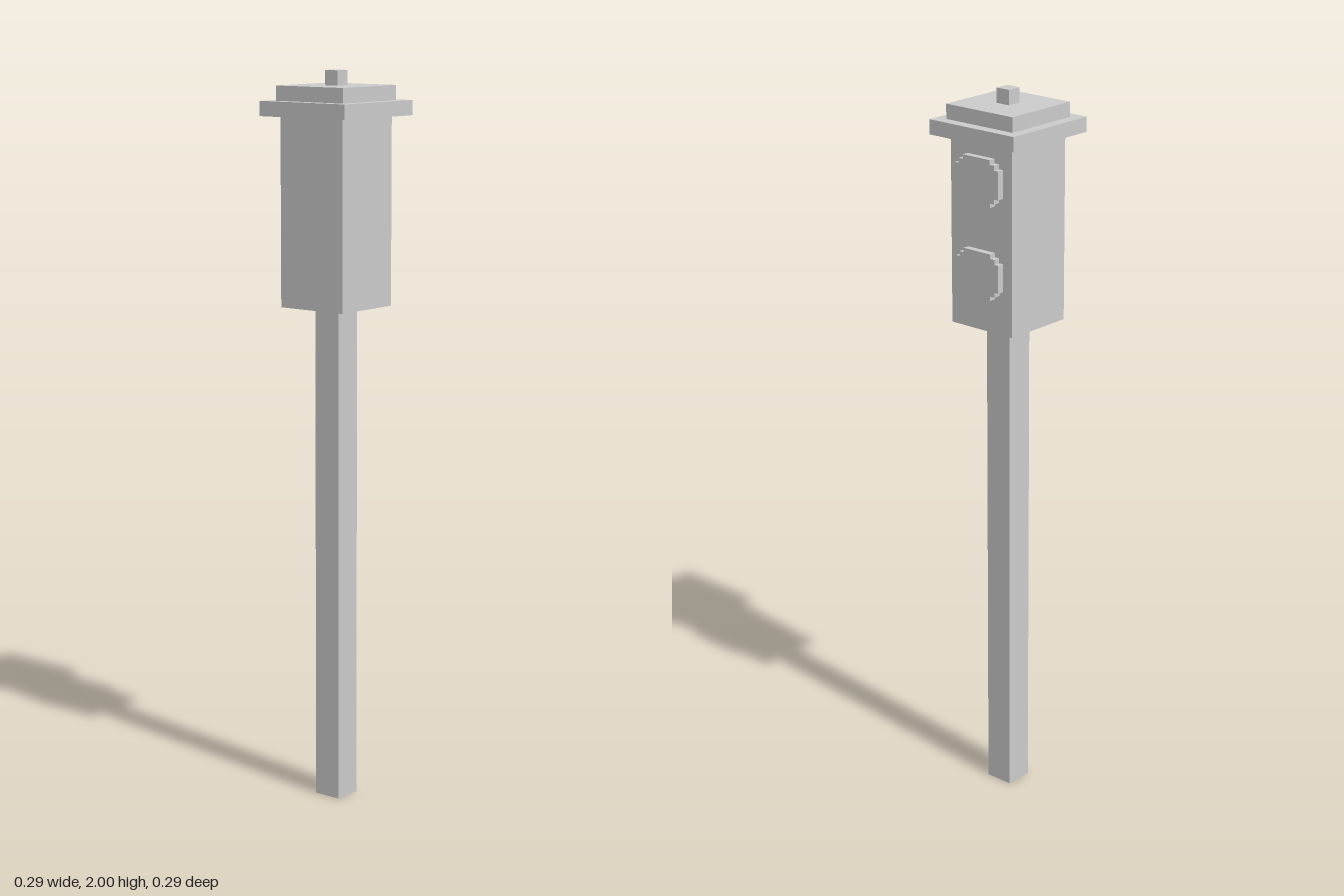
import * as THREE from 'three';

export function createModel() {
  const group = new THREE.Group();
  const material = new THREE.MeshStandardMaterial({ color: 0xcccccc, flatShading: true });

  // Square block centred on the axis, from y0 to y1
  function block(name, width, y0, y1) {
    const mesh = new THREE.Mesh(new THREE.BoxGeometry(width, y1 - y0, width), material);
    mesh.name = name;
    mesh.position.y = (y0 + y1) / 2;
    group.add(mesh);
  }
  block('post', 0.08, 0, 1.37);
  block('housing', 0.21, 1.37, 1.88);
  block('roofBrim', 0.288, 1.88, 1.92);
  block('roofTop', 0.226, 1.92, 1.96);
  block('finial', 0.042, 1.96, 2);

  // Lamp outline: a rectangle with stepped corners, mirrored quadrant by quadrant
  const corner = [[0.074, 0.038], [0.061, 0.038], [0.061, 0.051], [0.046, 0.051], [0.046, 0.063]];
  const outline = [];
  for (const [sx, sy] of [[1, 1], [-1, 1], [-1, -1], [1, -1]]) {
    const points = corner.map(([x, y]) => new THREE.Vector2(x * sx, y * sy));
    outline.push(...(sx * sy > 0 ? points : points.reverse()));
  }
  const lampGeometry = new THREE.ExtrudeGeometry(new THREE.Shape(outline), { depth: 0.023, bevelEnabled: false });

  // Two lamps on the back of the housing
  [['upperLamp', 1.777], ['lowerLamp', 1.527]].forEach(([name, y]) => {
    const lamp = new THREE.Mesh(lampGeometry, material);
    lamp.name = name;
    lamp.position.set(0, y, -0.124);
    group.add(lamp);
  });
  return group;
}
